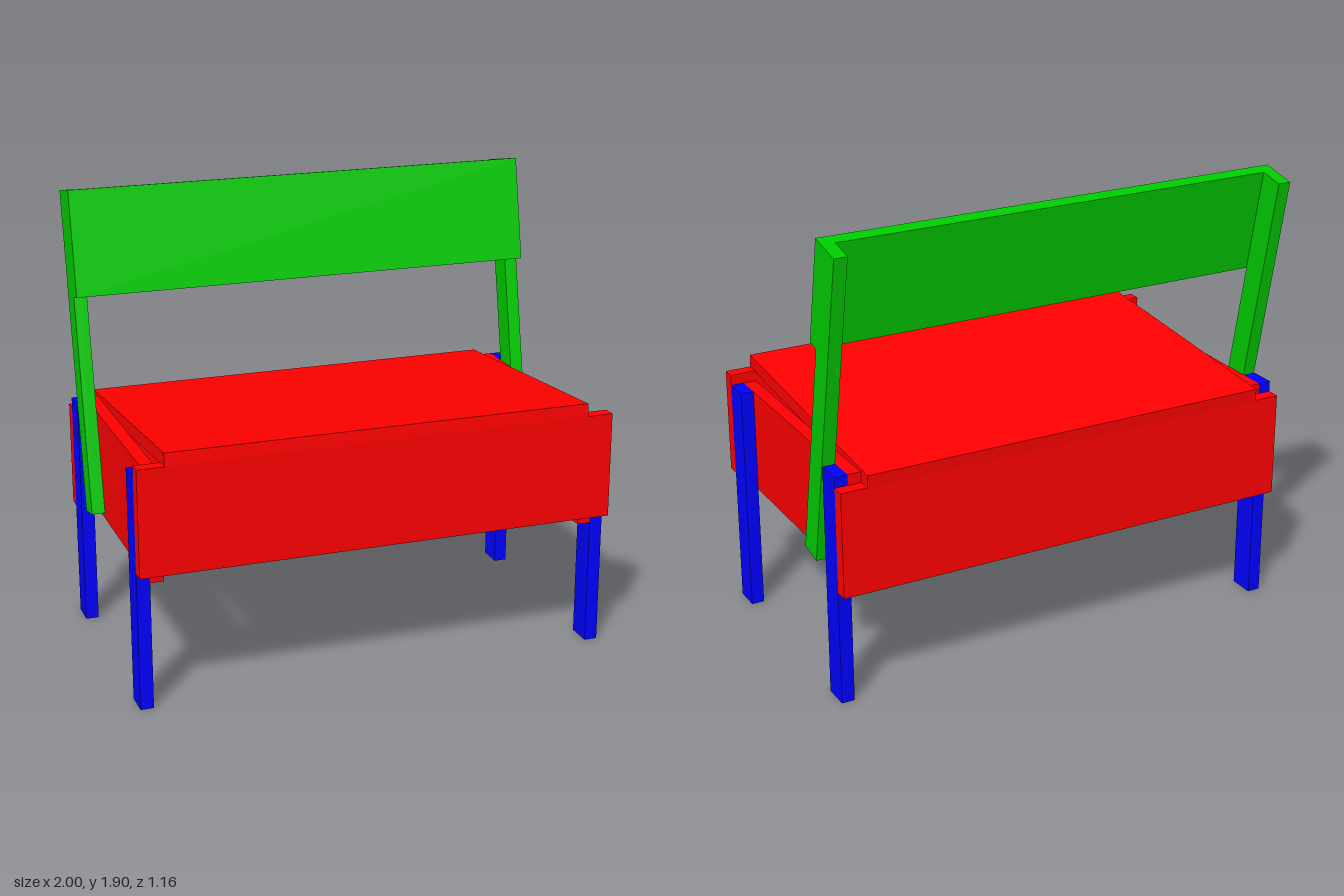
import * as THREE from 'three';

const red = new THREE.MeshStandardMaterial({ color: 0xff0000 });
const green = new THREE.MeshStandardMaterial({ color: 0x00cc00 });
const blue = new THREE.MeshStandardMaterial({ color: 0x0000ff });

const T = 0.055; // board thickness
const IN = 1 - T; // inner face of legs and posts

// Box given by its [min, max] range on each axis
function board(name, material, [x0, x1], [y0, y1], [z0, z1]) {
  const mesh = new THREE.Mesh(new THREE.BoxGeometry(x1 - x0, y1 - y0, z1 - z0), material);
  mesh.position.set((x0 + x1) / 2, (y0 + y1) / 2, (z0 + z1) / 2);
  mesh.name = name;
  return mesh;
}

export function createModel() {
  const bench = new THREE.Group();
  bench.name = 'bench';

  // Backrest frame, pivoting about the lower back corner of its posts
  const backrest = new THREE.Group();
  backrest.name = 'backrest';
  backrest.position.set(0, 0.538, -0.312);
  backrest.rotation.x = -0.198;
  backrest.add(board('backrestPanel', green, [-1, 1], [0.912, 1.352], [0.108, 0.163]));

  // Mirrored parts: legs, side aprons and backrest posts
  for (const [side, s] of [['left', 1], ['right', -1]]) {
    const outer = s > 0 ? [IN, 1] : [-1, -IN];
    const inner = s > 0 ? [IN - T, IN] : [-IN, T - IN];
    bench.add(
      board(side + 'FrontLeg', blue, outer, [0, 0.98], [0.417, 0.527]),
      board(side + 'BackLeg', blue, outer, [0, 0.98], [-0.515, -0.405]),
      board(side + 'Apron', red, inner, [0.535, 0.98], [-0.515, 0.527])
    );
    backrest.add(board(side + 'BackrestPost', green, outer, [0, 1.352], [0, 0.108]));
  }
  bench.add(backrest);

  // Front and back aprons
  bench.add(
    board('frontApron', red, [-1, 1], [0.58, 1.025], [0.527, 0.582]),
    board('backApron', red, [-1, 1], [0.49, 0.935], [-0.57, -0.515])
  );

  // Seat board, sloping down towards the back
  const seat = board('seat', red, [T - IN, IN - T], [0.978, 1.033], [-0.574, 0.582]);
  seat.rotation.x = -0.08;
  bench.add(seat);

  return bench;
}
